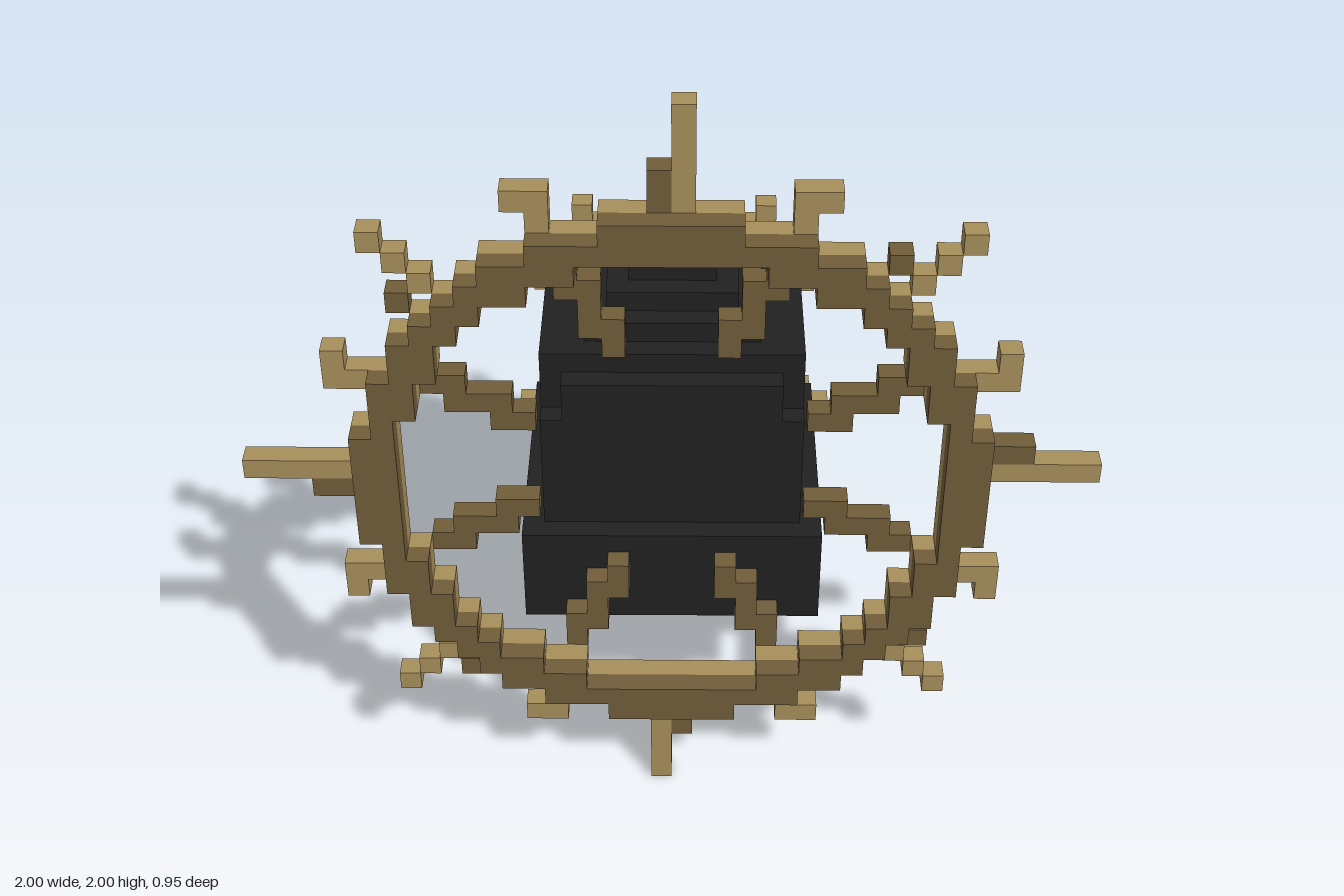
import * as THREE from 'three';
import { mergeGeometries } from 'three/addons/utils/BufferGeometryUtils.js';

const V = 2 / 38; // edge of one block

export function createModel() {
  const model = new THREE.Group();
  const mat = (name, color) => {
    const m = new THREE.MeshStandardMaterial({ color });
    m.name = name;
    return m;
  };
  const bronze = mat('darkBronze', 0x705d3a);
  const gold = mat('paleGold', 0xa88f5c);
  const black = mat('black', 0x212121);

  // Box between two corners given in blocks
  const block = (x0, x1, y0, y1, z0, z1) =>
    new THREE.BoxGeometry((x1 - x0) * V, (y1 - y0) * V, (z1 - z0) * V)
      .translate((x0 + x1) * V / 2, (y0 + y1) * V / 2, (z0 + z1) * V / 2);

  const add = (name, material, geometries, parent = model) => {
    const mesh = new THREE.Mesh(mergeGeometries(geometries), material);
    mesh.name = name;
    parent.add(mesh);
  };

  // One-block-thick layer of cells [column, row] around a centre height
  const layer = (name, material, cells, cy, z, parent) =>
    add(name, material, cells.map(([x, y]) => block(x, x + 1, cy + y, cy + y + 1, z, z + 1)), parent);

  // Mirror cells of the upper right quarter into all four quarters
  const quarters = cells => cells.flatMap(([x, y]) =>
    [[x, y], [-1 - x, y], [x, -1 - y], [-1 - x, -1 - y]]);

  // The same, also mirrored over the diagonal
  const eightfold = cells => quarters([
    ...cells, ...cells.filter(([x, y]) => x !== y).map(([x, y]) => [y, x])]);

  // Cells whose centres lie between two radii
  const ringCells = (inner, outer) => {
    const cells = [];
    for (let x = 0; x < outer; x++) {
      for (let y = 0; y < outer; y++) {
        const r = Math.hypot(x + 0.5, y + 0.5);
        if (r > inner && r < outer) cells.push([x, y]);
      }
    }
    return quarters(cells);
  };

  const line = (from, to, fn) =>
    Array.from({ length: to - from + 1 }, (_, i) => fn(from + i));

  // Stepped dark body
  const body = new THREE.Group();
  body.name = 'body';
  model.add(body);
  add('base', black, [block(-7, 7, 9, 14, -6, 6), block(-6, 6, 9, 14, -7, -6)], body);
  add('torso', black, [
    block(-6, 6, 14, 20, -7, 5),
    block(-6, 6, 20, 23, -6, 4),
    block(-5, 5, 20, 22, -7, 5),
  ], body);
  add('steppedTop', black, [4, 3, 2].map((h, i) =>
    block(-h, h, 23 + i, 24 + i, -1 - h, h - 1)), body);

  // Large front ring with rays, hooks and inward spokes
  const halo = new THREE.Group();
  halo.name = 'frontHalo';
  model.add(halo);
  const ring = ringCells(12.2, 13.9);
  layer('ringFront', bronze, ring, 19, 8, halo);
  layer('ringBack', gold, ring, 19, 7, halo);
  layer('rays', gold, [
    ...line(14, 18, r => [0, r]),
    ...line(14, 18, r => [r, 0]),
    ...line(-19, -15, r => [-1, r]),
    ...line(-19, -15, r => [r, 0]),
  ], 19, 7, halo);
  layer('rayStubs', bronze, [
    [-1, 14], [-1, 15], [14, 1], [15, 1],
    [0, -15], [0, -16], [-15, -1], [-16, -1],
    [9, 11], [11, -10], [-10, -12], [-12, 9],
  ], 19, 7, halo);
  layer('hooks', gold, eightfold([[13, 5], [14, 5], [14, 6]]), 19, 7, halo);
  layer('cornerSparks', gold, quarters([[10, 10], [11, 11], [12, 12]]), 19, 7, halo);
  layer('spokes', bronze, eightfold(
    [[6, 2], [7, 2], [7, 3], [8, 3], [9, 3], [9, 4], [10, 4]]), 19, 6, halo);

  // Small emblem on the back
  const emblem = new THREE.Group();
  emblem.name = 'backEmblem';
  model.add(emblem);
  const smallRing = ringCells(3.4, 5.2);
  layer('smallRingOuter', gold, smallRing, 16, -9, emblem);
  layer('smallRingInner', gold, smallRing, 16, -8, emblem);
  layer('emblemCentre', gold, quarters([[0, 0]]), 16, -8, emblem);
  layer('emblemRays', gold, [
    ...line(5, 9, r => [0, r]),
    ...line(-9, -6, r => [-1, r]),
    [5, -1], [-6, 0],
  ], 16, -8, emblem);
  layer('emblemStubs', bronze, [
    [-2, 5], [-1, 5], [1, 5], [5, 1], [5, 0], [5, -2],
    [1, -6], [0, -6], [-2, -6], [-6, -2], [-6, -1], [-6, 1],
  ], 16, -8, emblem);
  layer('emblemHooks', gold, eightfold([[5, 3], [6, 3], [7, 4]]), 16, -8, emblem);
  layer('emblemCorners', gold, quarters([[4, 4], [5, 5]]), 16, -8, emblem);

  return model;
}
